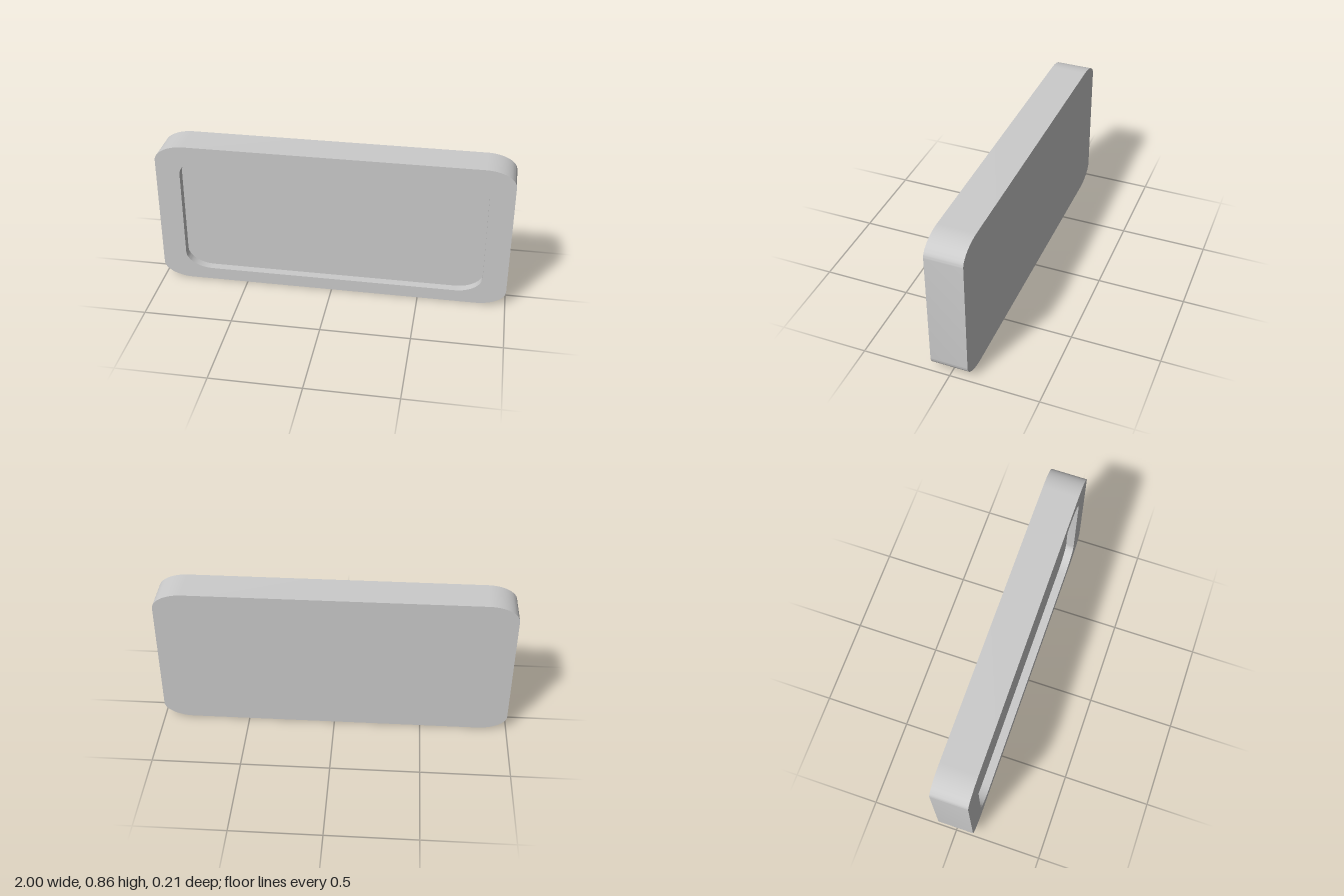
import * as THREE from 'three';
import { mergeGeometries, toCreasedNormals } from 'three/addons/utils/BufferGeometryUtils.js';

const HALF_DEPTH = 0.105;
const FLOOR_Z = 0.057; // bottom of the shallow front recess
const MID_Y = 0.4275;

// Counter-clockwise rounded rectangle with elliptical corners, centred on the origin
function outline(hw, hh, rx, ry, steps = 20) {
  const points = [];
  const corners = [[1, 1], [-1, 1], [-1, -1], [1, -1]];
  corners.forEach(([sx, sy], i) => {
    for (let k = 0; k <= steps; k++) {
      const a = (i + k / steps) * Math.PI / 2;
      points.push(new THREE.Vector2(
        sx * (hw - rx) + rx * Math.cos(a),
        sy * (hh - ry) + ry * Math.sin(a)));
    }
  });
  return points;
}

// Straight wall along an outline; facing outward when z0 < z1, inward when z0 > z1
function wall(points, z0, z1) {
  const pos = [];
  points.forEach((p, i) => {
    const q = points[(i + 1) % points.length];
    pos.push(p.x, p.y, z0, q.x, q.y, z0, q.x, q.y, z1);
    pos.push(p.x, p.y, z0, q.x, q.y, z1, p.x, p.y, z1);
  });
  const g = new THREE.BufferGeometry();
  g.setAttribute('position', new THREE.Float32BufferAttribute(pos, 3));
  g.computeVertexNormals();
  return g;
}

// Flat face filling an outline, with an optional hole
function face(points, z, hole) {
  const shape = new THREE.Shape(points);
  if (hole) shape.holes.push(new THREE.Path(hole));
  const g = new THREE.ShapeGeometry(shape).toNonIndexed();
  g.deleteAttribute('uv');
  return g.translate(0, 0, z);
}

export function createModel() {
  const group = new THREE.Group();
  group.name = 'recessedPanel';
  const material = new THREE.MeshStandardMaterial({ color: 0xcccccc });

  const outer = outline(1, MID_Y, 0.17, 0.092);
  const inner = outline(0.863, 0.355, 0.155, 0.1);

  const addPart = (name, ...geometries) => {
    const mesh = new THREE.Mesh(toCreasedNormals(mergeGeometries(geometries), 0.6), material);
    mesh.name = name;
    mesh.position.y = MID_Y;
    group.add(mesh);
  };

  // Outer shell: side wall, front rim and back
  addPart('body',
    wall(outer, -HALF_DEPTH, HALF_DEPTH),
    face(outer, HALF_DEPTH, inner),
    face(outer, HALF_DEPTH).rotateY(Math.PI));

  // Shallow recess in the front
  addPart('recess',
    wall(inner, HALF_DEPTH, FLOOR_Z),
    face(inner, FLOOR_Z));

  return group;
}
